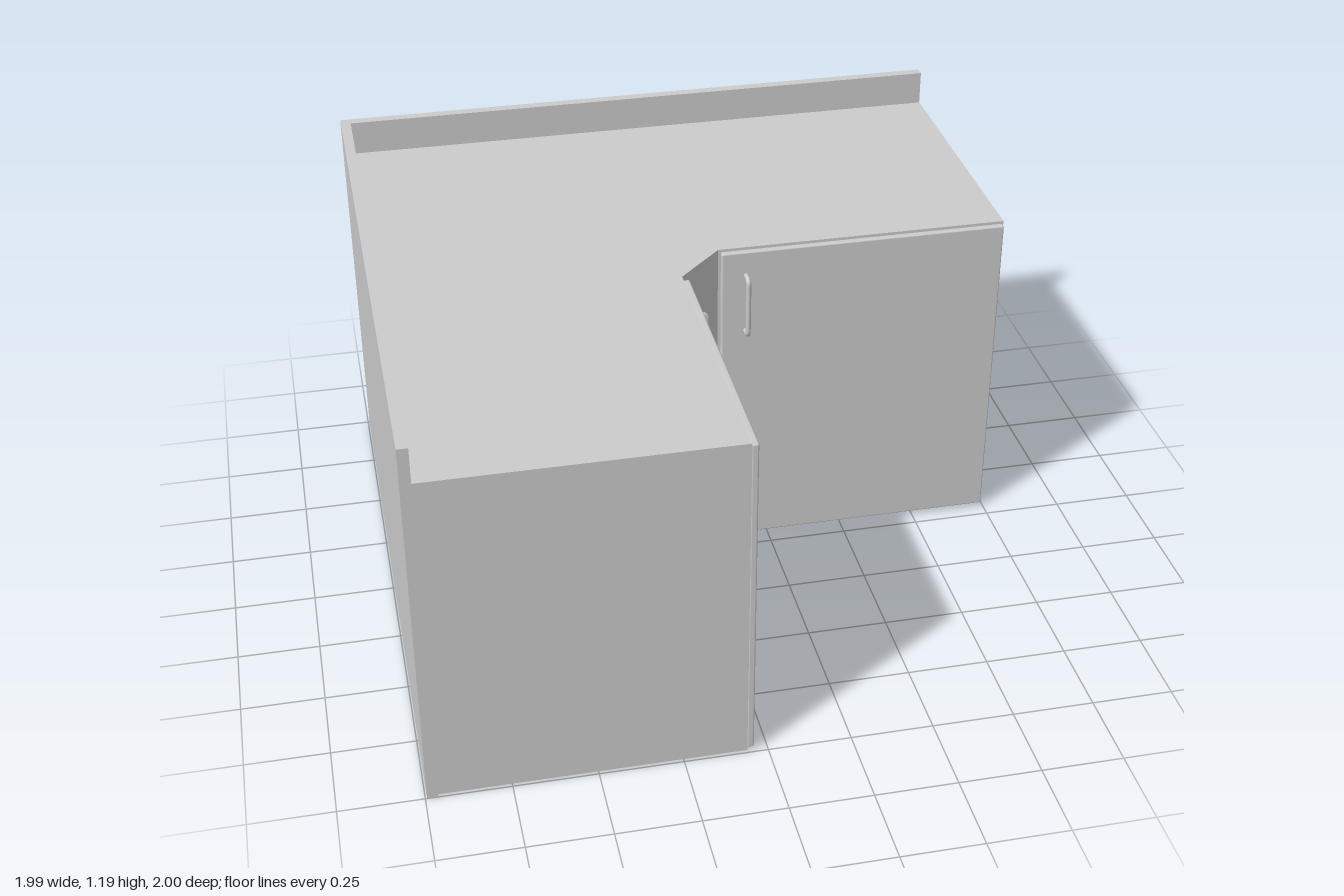
import * as THREE from 'three';
import { RoundedBoxGeometry } from 'three/addons/geometries/RoundedBoxGeometry.js';

const material = new THREE.MeshStandardMaterial({ color: 0xcccccc });

const TOP = 1.08;      // worktop surface
const SLAB = 0.02;     // worktop thickness
const WALL = 0.02;     // carcass panel thickness
const BACK = 0.032;    // back panel thickness
const BASE = 0.01;     // carcass clearance above the ground
const INNER = 0.078;   // where each wing starts, next to the corner panel
const FRONT = -0.063;  // front plane of each wing's carcass
const EX = 0.995, EZ = 1; // half extents

// Wing coordinates: a = along the wing, d = depth (negative is towards the back).
// swap = false runs along x, swap = true runs along z.
function place(a, y, d, swap) {
  return swap ? new THREE.Vector3(d, y, a) : new THREE.Vector3(a, y, d);
}

function panel(name, [a0, a1], [y0, y1], [d0, d1], swap, radius = 0) {
  const s = place(a1 - a0, y1 - y0, d1 - d0, swap);
  const geometry = radius
    ? new RoundedBoxGeometry(s.x, s.y, s.z, 2, radius)
    : new THREE.BoxGeometry(s.x, s.y, s.z);
  const mesh = new THREE.Mesh(geometry, material);
  mesh.position.copy(place((a0 + a1) / 2, (y0 + y1) / 2, (d0 + d1) / 2, swap));
  mesh.name = name;
  return mesh;
}

// Bow handle: a bar with rounded bends, standing off the door
function handle(swap) {
  const a = 0.163, y0 = 0.797, y1 = 0.993, d0 = -0.045, d1 = -0.006, r = 0.018;
  const p = (y, d) => place(a, y, d, swap);
  const path = new THREE.CurvePath();
  path.add(new THREE.LineCurve3(p(y0, d0), p(y0, d1 - r)));
  path.add(new THREE.QuadraticBezierCurve3(p(y0, d1 - r), p(y0, d1), p(y0 + r, d1)));
  path.add(new THREE.LineCurve3(p(y0 + r, d1), p(y1 - r, d1)));
  path.add(new THREE.QuadraticBezierCurve3(p(y1 - r, d1), p(y1, d1), p(y1, d1 - r)));
  path.add(new THREE.LineCurve3(p(y1, d1 - r), p(y1, d0)));
  const mesh = new THREE.Mesh(new THREE.TubeGeometry(path, 60, 0.008, 10), material);
  mesh.name = 'handle';
  return mesh;
}

// One cabinet wing: two side panels, raised floor, door and handle
function wing(name, end, back, swap) {
  const group = new THREE.Group();
  group.name = name;
  const height = [BASE, TOP - SLAB], depth = [back + BACK, FRONT];
  group.add(
    panel('innerSide', [INNER, INNER + WALL], height, depth, swap),
    panel('outerSide', [end - WALL, end], height, depth, swap),
    panel('floor', [INNER + WALL, end - WALL], [0.03, 0.05], depth, swap),
    panel('door', [0.086, end - 0.004], [0.016, 1.073], [FRONT, -0.042], swap, 0.005),
    handle(swap)
  );
  return group;
}

export function createModel() {
  const model = new THREE.Group();
  model.name = 'cornerCabinet';
  model.add(wing('backWing', EX, -EZ, false), wing('sideWing', EZ, -EX, true));

  // Back panels rise above the worktop as a splash guard
  model.add(
    panel('backPanel', [-EX + BACK, EX], [0, 1.19], [-EZ, -EZ + BACK], false),
    panel('sidePanel', [-EZ, EZ], [0, 1.19], [-EX, -EX + BACK], true)
  );

  // L-shaped worktop with a chamfered inner corner
  const outline = [
    [-EX + BACK, -EZ + BACK], [EX, -EZ + BACK], [EX, FRONT],
    [INNER, FRONT], [FRONT, INNER], [FRONT, EZ], [-EX + BACK, EZ],
  ];
  const shape = new THREE.Shape(outline.map(([x, z]) => new THREE.Vector2(x, z)));
  const slab = new THREE.ExtrudeGeometry(shape, { depth: SLAB, bevelEnabled: false });
  slab.rotateX(Math.PI / 2).translate(0, TOP, 0);
  const worktop = new THREE.Mesh(slab, material);
  worktop.name = 'worktop';
  model.add(worktop);

  // Diagonal panel joining the two wings
  const thick = 0.015, h = TOP - SLAB - BASE;
  const length = (INNER - FRONT) * Math.SQRT2;
  const corner = new THREE.Mesh(new THREE.BoxGeometry(length, h, thick), material);
  const mid = (INNER + FRONT) / 2 - thick / 2 / Math.SQRT2;
  corner.position.set(mid, BASE + h / 2, mid);
  corner.rotation.y = Math.PI / 4;
  corner.name = 'cornerPanel';
  model.add(corner);

  return model;
}
